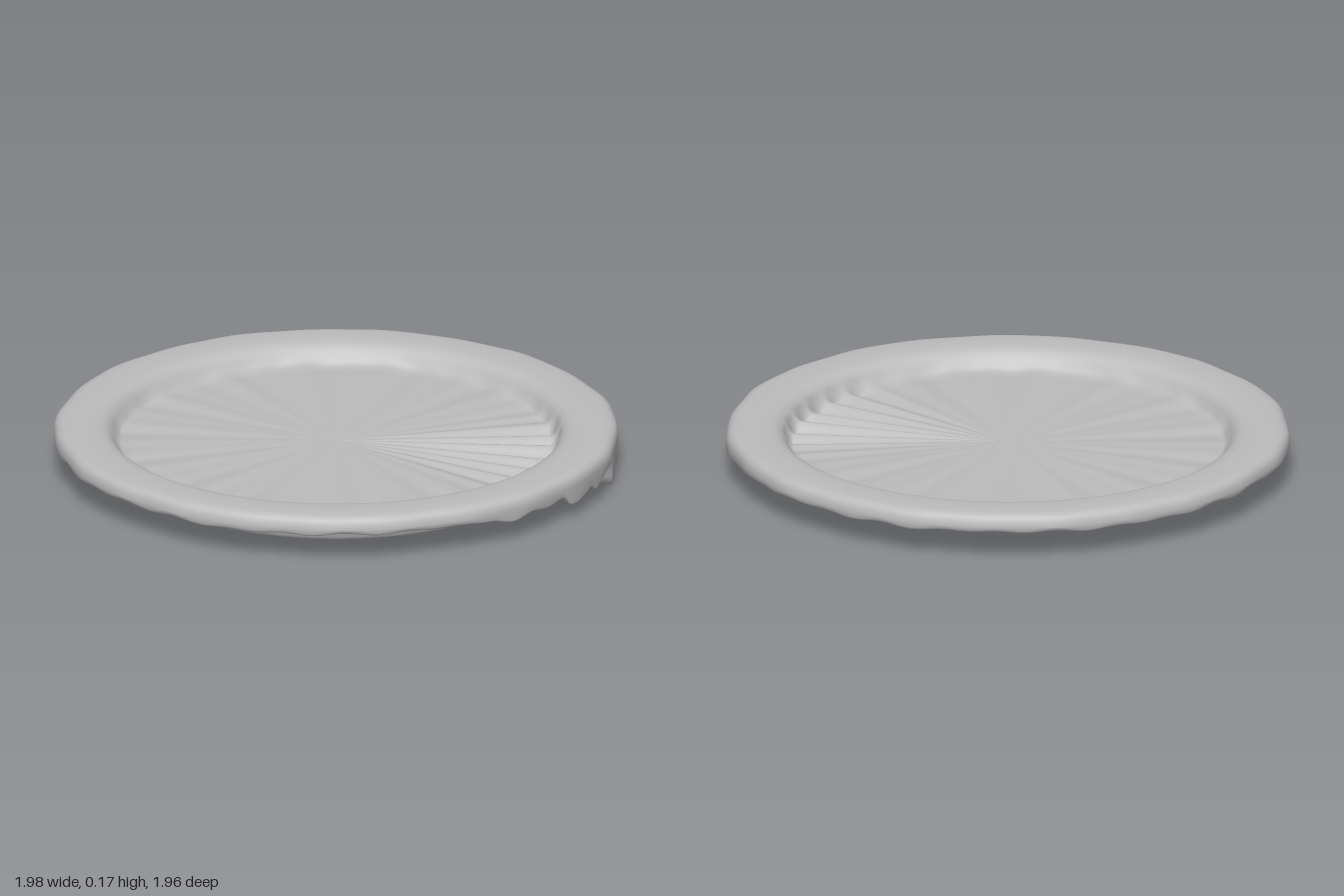
import * as THREE from 'three';

const SEGMENTS = 360;
const grey = new THREE.MeshStandardMaterial({ color: 0xbcbcbc });
grey.name = 'plain grey';

// Sweeps a profile, given per angle as [radius, height] points, around the y axis.
function sweep(name, profile) {
  const positions = [], index = [];
  let n = 0;
  for (let j = 0; j < SEGMENTS; j++) {
    let a = (j / SEGMENTS) * Math.PI * 2;
    if (a > Math.PI) a -= Math.PI * 2;
    const points = profile(a);
    n = points.length;
    for (const [r, y] of points) positions.push(r * Math.cos(a), y, r * Math.sin(a) * 0.99);
  }
  for (let j = 0; j < SEGMENTS; j++) {
    const k = (j + 1) % SEGMENTS;
    for (let i = 0; i < n - 1; i++) {
      const p = j * n + i, q = k * n + i;
      index.push(p, q, p + 1, q, q + 1, p + 1);
    }
  }
  const geometry = new THREE.BufferGeometry();
  geometry.setAttribute('position', new THREE.Float32BufferAttribute(positions, 3));
  geometry.setIndex(index);
  geometry.computeVertexNormals();
  const mesh = new THREE.Mesh(geometry, grey);
  mesh.name = name;
  return mesh;
}

// Height of the drooping rim edge: [degrees from +x, y], gentle ripples elsewhere.
const droop = [
  [-50, 0.1], [-35, 0.092], [-27, 0.082], [-18, 0.078], [-12, 0.08], [-8.5, 0.03],
  [-5, 0.075], [-3.6, 0.05], [-2.6, 0], [0.6, 0], [1.6, 0.095], [6, 0.085], [9, 0.068],
  [12, 0.052], [14, 0.075], [17, 0.062], [20, 0.05], [22, 0.05], [25, 0.09],
  [30, 0.08], [35, 0.09], [40, 0.072], [46, 0.092], [52, 0.1],
];
function rimEdge(a) {
  const d = THREE.MathUtils.radToDeg(a);
  for (let i = 0; i < droop.length - 1; i++) {
    const [d0, y0] = droop[i], [d1, y1] = droop[i + 1];
    if (d >= d0 && d <= d1) return THREE.MathUtils.lerp(y0, y1, THREE.MathUtils.smoothstep(d, d0, d1));
  }
  return 0.1 + 0.004 * Math.sin(a * 13) * Math.sin(a * 7 + 1) + 0.003 * Math.sin(a * 29);
}

// Radial flutes in the floor, deepest towards +x.
function floorHeight(r, a) {
  const strong = Math.exp(-((a / 0.5) ** 4));
  const deep = strong * (0.014 + 0.016 * Math.cos(a * 40 + 0.6));
  const faint = 0.003 * Math.sin(a * 17) + 0.002 * Math.sin(a * 31 + 1);
  return 0.097 - (deep + faint) * (r / 0.76) ** 1.5;
}

const outerRadius = (a) => 0.99 + 0.003 * Math.sin(a * 11) + 0.002 * Math.sin(a * 23);

// The base rises slightly towards the back.
const baseHeight = (r, a) => Math.max(0, (-r * Math.sin(a) - 0.2) * 0.055);

export function createModel() {
  const dish = new THREE.Group();
  dish.name = 'dish';

  // Fluted floor, inner wall and rounded rim
  dish.add(sweep('floorAndRim', (a) => {
    const points = [];
    for (let i = 0; i <= 16; i++) {
      const r = 0.757 * (i / 16);
      points.push([r, floorHeight(r, a)]);
    }
    const R = outerRadius(a), edge = rimEdge(a);
    points.push(
      [0.772, floorHeight(0.76, a) + 0.012], [0.785, 0.13], [0.8, 0.148], [0.82, 0.159],
      [0.85, 0.165], [0.9, 0.166], [0.945, 0.165], [R - 0.025, 0.161],
      [R - 0.01, 0.152], [R - 0.002, 0.137], [R, 0.12],
      [R, Math.min(0.115, edge + 0.008)], [R - 0.006, edge],
    );
    return points;
  }));

  // Rippled underside of the rim
  dish.add(sweep('rimUnderside', (a) => {
    const R = outerRadius(a) - 0.006, edge = rimEdge(a);
    return [1, 0.66, 0.33, 0].map((t) => [THREE.MathUtils.lerp(0.75 + 0.3 * edge, R, t), edge]);
  }));

  // Tapered foot wall
  dish.add(sweep('footWall', (a) => {
    const edge = rimEdge(a), base = Math.min(edge, baseHeight(0.75, a));
    return [[0.75 + 0.3 * edge, edge], [0.753, base + (edge - base) * 0.12], [0.745, base]];
  }));

  // Flat base with a round recess in the middle
  dish.add(sweep('base', (a) => [0.745, 0.5, 0.25, 0.105].map((r) => [r, baseHeight(r, a)])));
  dish.add(sweep('recessWall', () => [[0.105, 0], [0.105, 0.05]]));
  dish.add(sweep('recessCeiling', () => [[0.105, 0.05], [0, 0.05]]));

  return dish;
}
